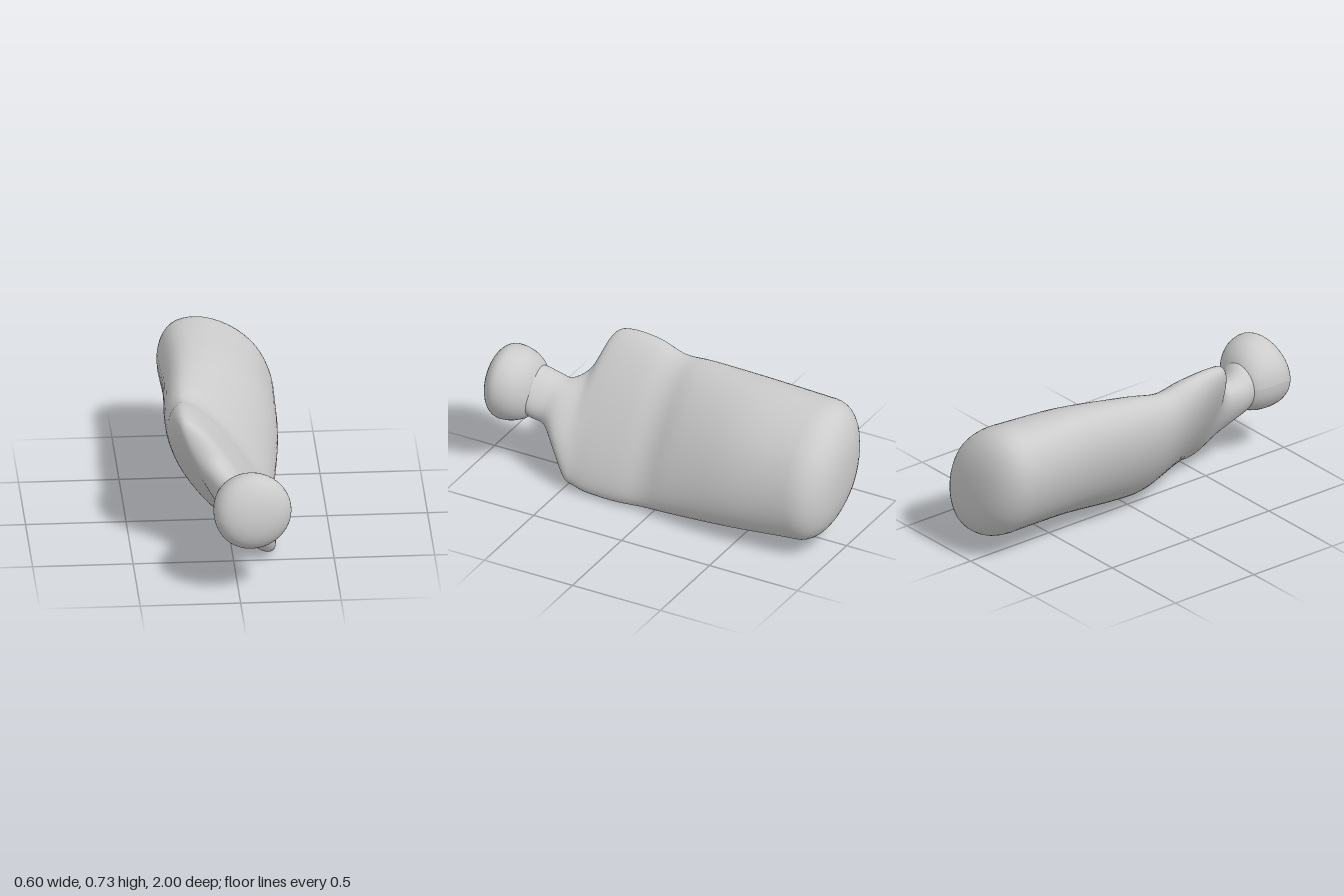
import * as THREE from 'three';

// Key cross-sections, back to front:
// z, centre x, centre y, half length, thickness of upper face, thickness of lower face
const SECTIONS = [
  [-0.8, 0, 0.39, 0.365, 0.258, 0.255],
  [-0.45, 0.005, 0.38, 0.385, 0.225, 0.245],
  [-0.12, -0.015, 0.358, 0.395, 0.165, 0.225],
  [0.05, -0.025, 0.345, 0.395, 0.118, 0.2],
  [0.2, -0.025, 0.362, 0.42, 0.105, 0.165],
  [0.36, -0.023, 0.37, 0.422, 0.095, 0.112],
  [0.44, -0.012, 0.36, 0.392, 0.088, 0.092],
  [0.5, 0.032, 0.295, 0.29, 0.088, 0.09],
  [0.58, 0.04, 0.32, 0.19, 0.095, 0.095],
  [0.66, 0.015, 0.37, 0.138, 0.1, 0.1],
  [0.73, 0.035, 0.405, 0.135, 0.122, 0.122],
  [0.8, 0.06, 0.43, 0.12, 0.12, 0.12],
];
const SIDES = 48;
const STEPS = 5;
const CAP_ROWS = 12;
const CAP_DEPTH = 0.2;

// Smooth curve through three neighbouring columns of the table
const track = (i) => new THREE.CatmullRomCurve3(
  SECTIONS.map((s) => new THREE.Vector3(s[i], s[i + 1], s[i + 2])), false, 'catmullrom', 0.5);

// One tilted lens-like ring; it leans less and grows fuller toward the front
function ring([z, x, y], [length, upper, lower]) {
  const tilt = THREE.MathUtils.degToRad(37 - 3.5 * (z + 0.84));
  const power = 1.08 - 0.13 * THREE.MathUtils.smoothstep(z, -0.6, 0.4);
  const soft = (v) => Math.sign(v) * Math.abs(v) ** power;
  const points = [];
  for (let j = 0; j < SIDES; j++) {
    const angle = (j / SIDES) * Math.PI * 2;
    const c = soft(Math.cos(angle));
    const across = c * (c > 0 ? upper : lower);
    const along = length * soft(Math.sin(angle));
    points.push(
      x + across * Math.cos(tilt) - along * Math.sin(tilt),
      y + across * Math.sin(tilt) + along * Math.cos(tilt),
      z);
  }
  return points;
}

// Rounded back end, then the lofted length up to the neck
function buildSkin() {
  const rings = [];
  const [z, x, y, ...size] = SECTIONS[0];
  for (let i = 0; i < CAP_ROWS; i++) {
    const u = Math.cos((i / CAP_ROWS) * Math.PI / 2);
    const scale = Math.max(0.002, (1 - u ** 2.6) ** 0.4);
    rings.push(ring([z - CAP_DEPTH * u, x, y], size.map((v) => v * scale)));
  }
  const centres = track(0);
  const sizes = track(3);
  const rows = (SECTIONS.length - 1) * STEPS;
  for (let i = 0; i <= rows; i++) {
    rings.push(ring(centres.getPoint(i / rows).toArray(), sizes.getPoint(i / rows).toArray()));
  }

  const index = [];
  for (let i = 0; i < rings.length - 1; i++) {
    for (let j = 0; j < SIDES; j++) {
      const a = i * SIDES + j;
      const b = i * SIDES + (j + 1) % SIDES;
      index.push(a, b, b + SIDES, a, b + SIDES, a + SIDES);
    }
  }
  const skin = new THREE.BufferGeometry();
  skin.setAttribute('position', new THREE.Float32BufferAttribute(rings.flat(), 3));
  skin.setIndex(index);
  skin.computeVertexNormals();
  return skin;
}

// Flattened ball: blunt behind, domed in front, ends bent slightly down and aside
function buildKnob() {
  const knob = new THREE.SphereGeometry(1, 40, 28).rotateX(Math.PI / 2);
  const p = knob.attributes.position;
  for (let i = 0; i < p.count; i++) {
    const u = p.getZ(i);
    const radius = Math.hypot(p.getX(i), p.getY(i));
    const fuller = u < 0 && radius > 0.001 ? radius ** -0.35 : 1;
    const bend = u * u * (u < 0 ? 0.6 : 1);
    p.setXYZ(i,
      0.068 + 0.194 * fuller * p.getX(i) - 0.055 * bend,
      0.44 + 0.194 * fuller * p.getY(i) - 0.035 * bend,
      0.87 + (u < 0 ? 0.16 : 0.13) * u);
  }
  knob.computeVertexNormals();
  return knob;
}

export function createModel() {
  const model = new THREE.Group();
  const material = new THREE.MeshStandardMaterial({ color: 0xcccccc });
  const add = (name, geometry) => {
    const mesh = new THREE.Mesh(geometry, material);
    mesh.name = name;
    model.add(mesh);
  };

  // Body and neck share one skin's normals, so the join is seamless
  const skin = buildSkin();
  const indices = Array.from(skin.index.array);
  const split = (CAP_ROWS + 7 * STEPS) * SIDES * 6;
  const neck = skin.clone();
  neck.setIndex(indices.slice(split));
  skin.setIndex(indices.slice(0, split));
  add('body', skin);
  add('neck', neck);
  add('knob', buildKnob());
  return model;
}
